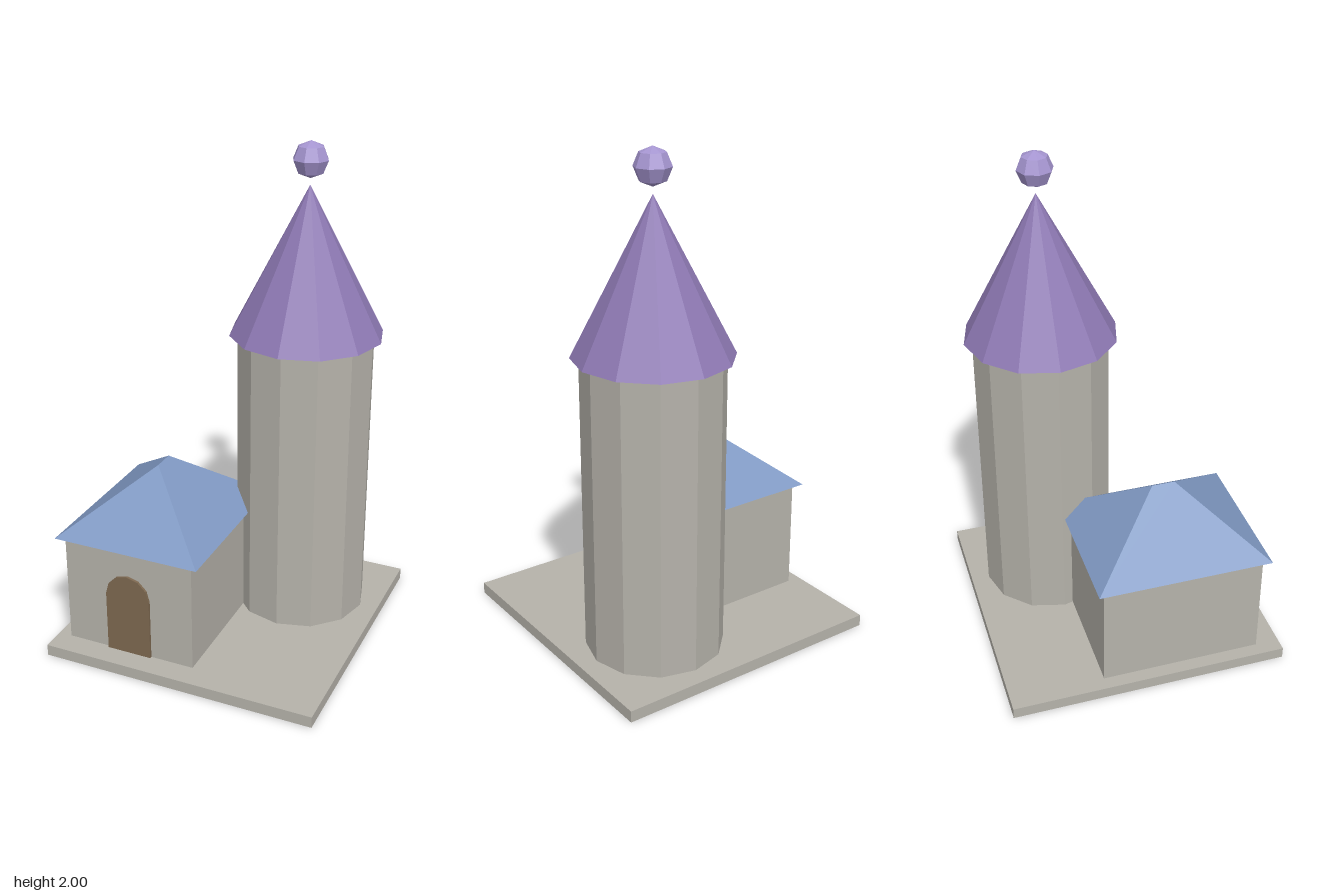
import * as THREE from 'three';

const mat = (name, color) => {
  const m = new THREE.MeshStandardMaterial({ color, flatShading: true });
  m.name = name;
  return m;
};

export function createModel() {
  const stone = mat('stone', 0xb5b2aa);
  const blue = mat('blue roof', 0x7f98c2);
  const purple = mat('purple roof', 0x8f7ab5);
  const lilac = mat('lilac', 0xa595d0);
  const wood = mat('wood', 0x7d6850);

  const model = new THREE.Group();
  model.name = 'towerHouse';
  const add = (name, geometry, material, x, y, z) => {
    const mesh = new THREE.Mesh(geometry, material);
    mesh.name = name;
    mesh.position.set(x, y, z);
    model.add(mesh);
  };

  const floor = 0.047, eaves = 0.508, towerTop = 1.24;
  const houseX = -0.24, houseZ = 0.144, towerX = 0.22, towerZ = -0.22;

  // Ground slab
  add('base', new THREE.BoxGeometry(1.137, floor, 1.137), stone, 0, floor / 2, 0);

  // Round tower with pointed roof and floating ball
  const h = towerTop - floor;
  add('tower', new THREE.CylinderGeometry(0.274, 0.274, h, 12), stone, towerX, floor + h / 2, towerZ);
  add('towerRoof', new THREE.ConeGeometry(0.307, 0.593, 12), purple, towerX, towerTop + 0.2965, towerZ);
  add('finial', new THREE.SphereGeometry(0.071, 8, 4), lilac, towerX, 1.929, towerZ);

  // House walls
  add('houseWalls', new THREE.BoxGeometry(0.548, eaves - floor, 0.654), stone,
    houseX, (eaves + floor) / 2, houseZ);

  // Hip roof: a box whose top face is pinched to a short ridge
  const roof = new THREE.BoxGeometry(0.614, 0.244, 0.707).toNonIndexed();
  const p = roof.attributes.position;
  for (let i = 0; i < p.count; i++) {
    if (p.getY(i) > 0) p.setXYZ(i, 0, p.getY(i), Math.sign(p.getZ(i)) * 0.046);
  }
  roof.computeVertexNormals();
  add('houseRoof', roof, blue, houseX, eaves + 0.122, houseZ);

  // Arched door
  const r = 0.094, spring = 0.256;
  const arch = new THREE.Shape();
  arch.moveTo(-r, 0);
  arch.lineTo(r, 0);
  for (let i = 0; i <= 6; i++) {
    const a = (i / 6) * Math.PI;
    arch.lineTo(r * Math.cos(a), spring + r * Math.sin(a));
  }
  arch.closePath();
  add('door', new THREE.ExtrudeGeometry(arch, { depth: 0.012, bevelEnabled: false }), wood,
    -0.241, floor, 0.469);

  return model;
}
